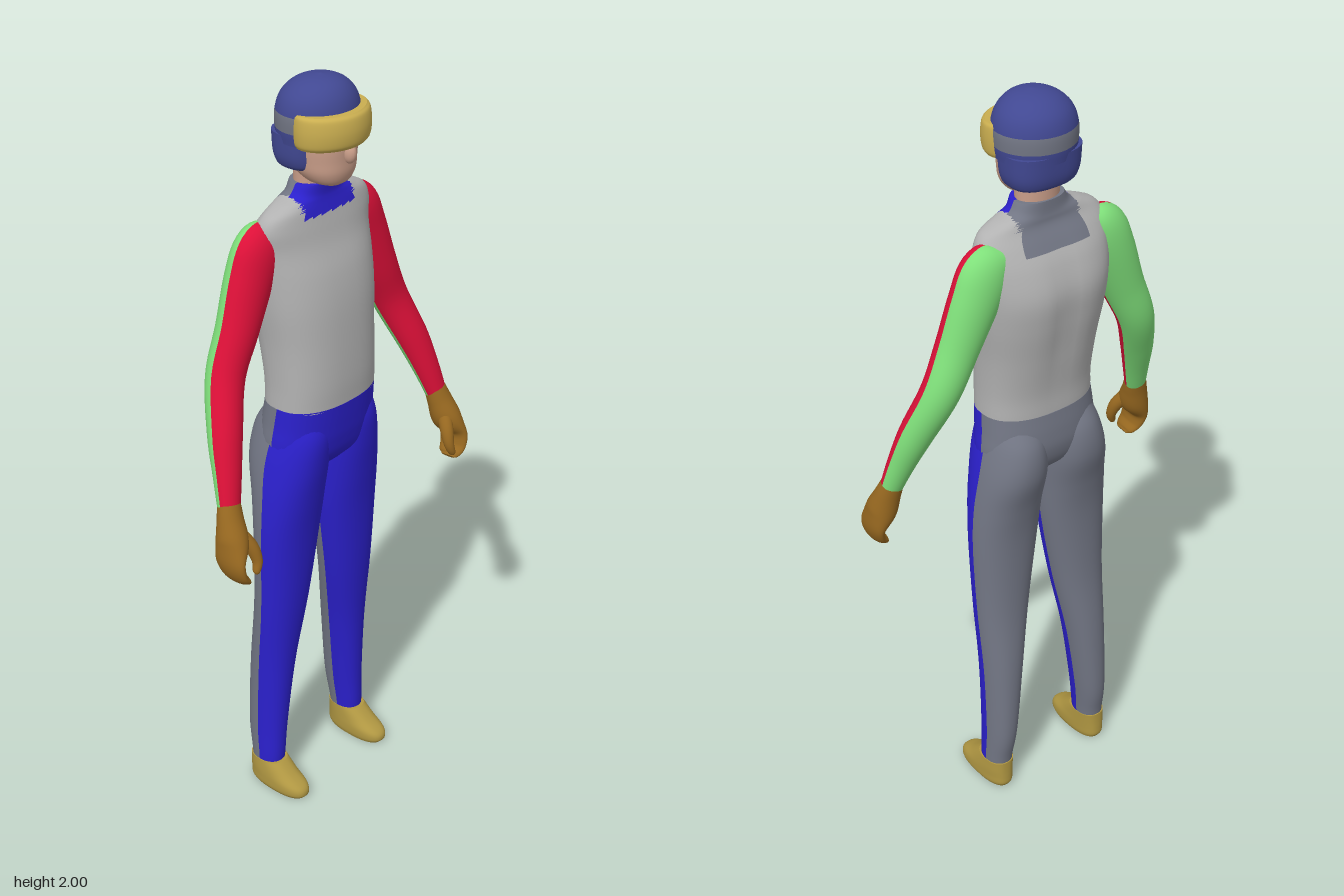
import * as THREE from 'three';

const mat = (name, color) => {
  const m = new THREE.MeshStandardMaterial({ color });
  m.name = name;
  return m;
};
const M = {
  vest: mat('vest grey', 0xb2b2b2), blue: mat('suit blue', 0x2b20cc), grey: mat('suit back grey', 0x727684),
  red: mat('sleeve red', 0xdc1038), green: mat('sleeve green', 0x7fdf7a), glove: mat('glove brown', 0x976820),
  shoe: mat('shoe gold', 0xb09742), lens: mat('goggle gold', 0xcaae50), skin: mat('skin', 0xcb9f8a),
  helmet: mat('helmet blue', 0x414892),
};
const SEG = 40;
const frontBack = (p, front) => (front ? 0 : 1);

// Smooth skin through oval rings [x, y, z, sideRadius, depthRadius], with flat end caps.
// pick(point, isFront) chooses the material of each face.
function loft(name, rings, mats, { pick = () => 0, level = false, power = 2, steps = 6, shape } = {}) {
  const spline = new THREE.CubicInterpolant(rings.map((_, i) => i), rings.flat(), 5, new Float32Array(5));
  const n = (rings.length - 1) * steps;
  const rows = [];
  for (let i = 0; i <= n; i++) rows.push(Array.from(spline.evaluate(i / steps)));
  const pts = [];
  const at = (i) => new THREE.Vector3(...rows[Math.min(n, Math.max(0, i))]);
  const round = (v) => Math.sign(v) * Math.abs(v) ** (2 / power);
  for (let i = 0; i <= n; i++) {
    const t = level ? new THREE.Vector3(0, 1, 0) : at(i + 1).sub(at(i - 1)).normalize();
    const u = new THREE.Vector3(0, 0, 1).addScaledVector(t, -t.z).normalize();
    const v = new THREE.Vector3().crossVectors(t, u);
    for (let j = 0; j < SEG; j++) {
      const a = (j / SEG) * Math.PI * 2;
      const p = at(i).addScaledVector(v, rows[i][3] * round(Math.cos(a)))
        .addScaledVector(u, rows[i][4] * round(Math.sin(a)));
      if (shape) shape(p);
      pts.push(p);
    }
  }
  const faces = mats.map(() => []);
  const add = (a, b, c, j) => {
    const mid = pts[a].clone().add(pts[b]).add(pts[c]).divideScalar(3);
    faces[pick(mid, j < SEG / 2)].push(a, b, c);
  };
  for (let i = 0; i < n; i++) for (let j = 0; j < SEG; j++) {
    const k = (j + 1) % SEG, a = i * SEG, b = a + SEG;
    add(a + j, b + j, a + k, j);
    add(a + k, b + j, b + k, j);
  }
  // end caps with their own vertices
  for (const row of [0, n]) {
    const base = pts.length;
    for (let j = 0; j < SEG; j++) pts.push(pts[row * SEG + j].clone());
    pts.push(at(row));
    for (let j = 0; j < SEG; j++) {
      const a = base + j, b = base + (j + 1) % SEG, c = base + SEG;
      if (row) add(b, a, c, j); else add(a, b, c, j);
    }
  }
  const g = new THREE.BufferGeometry().setFromPoints(pts);
  g.setIndex(faces.flat());
  let start = 0;
  faces.forEach((f, i) => { g.addGroup(start, f.length, i); start += f.length; });
  g.computeVertexNormals();
  const mesh = new THREE.Mesh(g, mats.length > 1 ? mats : mats[0]);
  mesh.name = name;
  return mesh;
}

// Level rings given as [y, x, halfWidth, back z, front z], listed upwards.
const stack = (name, rings, mats, opts = {}) => loft(name,
  rings.map(([y, x, w, b, f]) => [x, y, (b + f) / 2, w, (f - b) / 2]), mats, { level: true, ...opts });

export function createModel() {
  const model = new THREE.Group();
  model.name = 'skier';

  // Torso with collar and a shallow spine groove
  model.add(stack('torso', [
    [1.18, 0, 0.157, -0.106, 0.1], [1.25, 0, 0.156, -0.109, 0.102], [1.35, 0, 0.16, -0.126, 0.098],
    [1.45, 0, 0.171, -0.144, 0.09], [1.53, 0, 0.177, -0.149, 0.075], [1.6, 0, 0.181, -0.128, 0.052],
    [1.65, 0, 0.184, -0.1, 0.04], [1.685, 0, 0.165, -0.077, 0.032], [1.705, 0, 0.125, -0.072, 0.028],
    [1.72, 0, 0.085, -0.07, 0.027], [1.745, 0, 0.067, -0.069, 0.03],
  ], [M.vest, M.blue, M.grey], {
    power: 2.35,
    pick: (p, front) => (Math.abs(p.x) < 0.088 && p.y > (front ? 1.672 : 1.635) ? (front ? 1 : 2) : 0),
    shape: (p) => {
      if (p.z < -0.03) p.z += 0.013 * Math.exp(-((p.x / 0.035) ** 2)) * Math.exp(-(((p.y - 1.45) / 0.16) ** 2));
    },
  }));

  // Hips
  model.add(stack('hips', [
    [0.99, 0, 0.09, -0.06, 0.04], [1.03, 0, 0.165, -0.098, 0.074], [1.08, 0, 0.169, -0.114, 0.088],
    [1.13, 0, 0.163, -0.114, 0.095], [1.185, 0, 0.158, -0.107, 0.101],
  ], [M.blue, M.grey], { power: 2.3, pick: frontBack }));

  // Neck, face and nose
  model.add(stack('neck', [[1.7, 0, 0.058, -0.062, 0.022], [1.75, 0, 0.058, -0.064, 0.024], [1.81, 0, 0.06, -0.066, 0.03]], [M.skin]));
  model.add(stack('face', [
    [1.745, 0, 0.03, 0, 0.06], [1.756, 0, 0.053, -0.03, 0.074], [1.78, 0, 0.07, -0.06, 0.083],
    [1.81, 0, 0.077, -0.08, 0.085], [1.85, 0, 0.081, -0.085, 0.086], [1.9, 0, 0.08, -0.085, 0.08],
  ], [M.skin], { power: 2.2 }));
  const nose = new THREE.Mesh(new THREE.SphereGeometry(1, 16, 12), M.skin);
  nose.name = 'nose';
  nose.scale.set(0.014, 0.026, 0.02);
  nose.position.set(0, 1.83, 0.087);
  model.add(nose);

  // Helmet shell with strap, and the part over ears and nape
  model.add(stack('helmet', [
    [1.85, 0, 0.1, -0.104, 0.078], [1.88, 0, 0.104, -0.107, 0.084], [1.92, 0, 0.104, -0.106, 0.087],
    [1.955, 0, 0.092, -0.094, 0.078], [1.98, 0, 0.068, -0.07, 0.06], [1.994, 0, 0.038, -0.04, 0.035],
    [2, 0, 0.004, -0.006, 0.002],
  ], [M.helmet, M.grey], { pick: (p) => (p.y > 1.88 && p.y < 1.92 && p.z < 0.04 ? 1 : 0) }));
  model.add(stack('helmetEarCover', [
    [1.785, 0, 0.082, -0.088, 0.03], [1.795, 0, 0.09, -0.095, 0.038], [1.82, 0, 0.097, -0.101, 0.042],
    [1.87, 0, 0.1, -0.104, 0.045],
  ], [M.helmet], { power: 2.6 }));

  // Goggles
  model.add(stack('goggles', [
    [1.848, 0, 0.099, -0.045, 0.105], [1.86, 0, 0.105, -0.05, 0.114], [1.89, 0, 0.108, -0.052, 0.117],
    [1.92, 0, 0.106, -0.05, 0.112], [1.93, 0, 0.1, -0.045, 0.102],
  ], [M.lens], { power: 1.9, pick: () => 0 }));

  for (const s of [1, -1]) {
    const side = s > 0 ? 'left' : 'right';
    const flip = (rings) => rings.map(([x, ...r]) => [x * s, ...r]);

    // Leg
    model.add(stack(side + 'Leg', [
      [0.05, 0.16, 0.036, -0.092, -0.005], [0.1, 0.159, 0.038, -0.097, 0], [0.2, 0.153, 0.043, -0.11, 0.003],
      [0.4, 0.14, 0.056, -0.106, 0.015], [0.6, 0.124, 0.077, -0.09, 0.035], [0.8, 0.11, 0.095, -0.09, 0.05],
      [0.92, 0.102, 0.097, -0.105, 0.066], [1.02, 0.093, 0.091, -0.129, 0.081],
      [1.1, 0.085, 0.078, -0.123, 0.086], [1.16, 0.08, 0.06, -0.09, 0.07],
    ].map(([y, x, ...r]) => [y, x * s, ...r]), [M.blue, M.grey], { pick: frontBack, power: 2.15 }));

    // Shoe
    model.add(stack(side + 'Shoe', [
      [0, 0.16, 0.036, -0.094, 0.082], [0.012, 0.161, 0.041, -0.1, 0.091], [0.032, 0.161, 0.042, -0.1, 0.084],
      [0.055, 0.161, 0.041, -0.099, 0.046], [0.085, 0.16, 0.039, -0.098, 0.007],
    ].map(([y, x, ...r]) => [y, x * s, ...r]), [M.shoe], { power: 2.4 }));

    // Arm, red in front and green behind
    model.add(loft(side + 'Arm', flip([
      [0.125, 1.632, -0.045, 0.044, 0.04], [0.168, 1.605, -0.045, 0.071, 0.05], [0.203, 1.54, -0.045, 0.068, 0.052],
      [0.25, 1.43, -0.04, 0.057, 0.05], [0.3, 1.32, -0.035, 0.05, 0.047], [0.346, 1.2, 0.005, 0.045, 0.041],
      [0.372, 1.11, 0.035, 0.037, 0.033], [0.391, 1.035, 0.057, 0.03, 0.026],
    ]), [M.red, M.green], { pick: frontBack }));

    // Glove: palm with curled fingers, and thumb
    const glove = new THREE.Group();
    glove.name = side + 'Glove';
    glove.add(loft('palm', flip([
      [0.389, 1.045, 0.055, 0.03, 0.027], [0.397, 1.01, 0.066, 0.034, 0.032], [0.408, 0.96, 0.082, 0.037, 0.043],
      [0.426, 0.915, 0.094, 0.021, 0.045], [0.42, 0.88, 0.101, 0.016, 0.041], [0.402, 0.86, 0.105, 0.012, 0.033],
      [0.392, 0.853, 0.106, 0.005, 0.02],
    ]), [M.glove]));
    glove.add(loft('thumb', flip([
      [0.39, 0.975, 0.09, 0.018, 0.02], [0.374, 0.94, 0.113, 0.017, 0.018], [0.369, 0.905, 0.126, 0.013, 0.014],
      [0.377, 0.88, 0.131, 0.009, 0.01], [0.38, 0.873, 0.132, 0.003, 0.004],
    ]), [M.glove], { steps: 4 }));
    model.add(glove);
  }
  return model;
}
